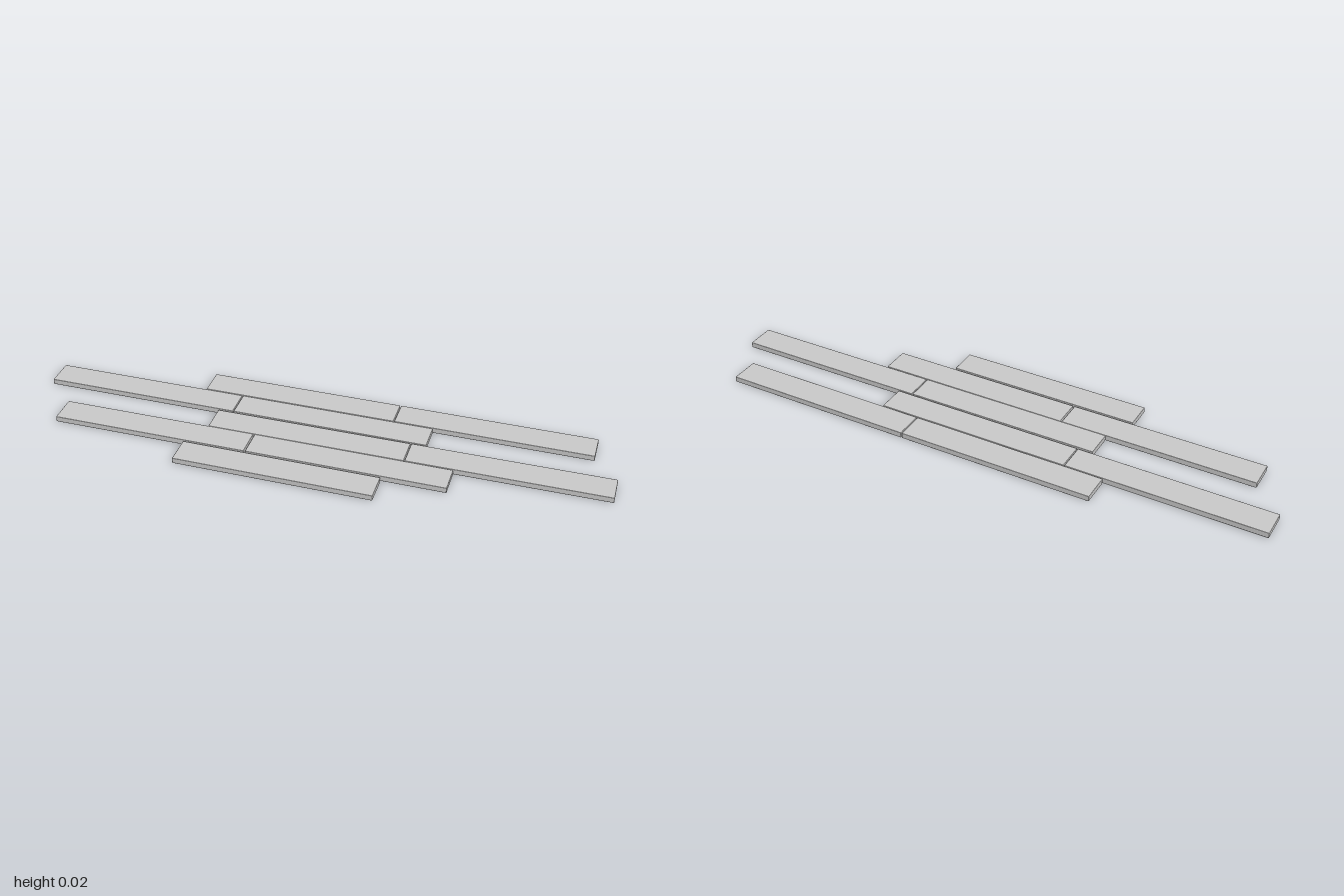
import * as THREE from 'three';
import { RoundedBoxGeometry } from 'three/addons/geometries/RoundedBoxGeometry.js';

export function createModel() {
  const model = new THREE.Group();
  model.name = 'floorPlanks';
  const material = new THREE.MeshStandardMaterial({ color: 0xcccccc });

  // One board with finely eased edges, shared by every plank
  const length = 0.681, height = 0.02, width = 0.1;
  const board = new RoundedBoxGeometry(length, height, width, 1, 0.002);

  // Staggered rows: centre x, centre z, slight skew
  const planks = [
    [-0.114, -0.209, 0], [0.57, -0.209, 0],
    [-0.659, -0.106, 0], [0.025, -0.106, 0],
    [-0.027, 0.0, 0.003], [0.657, -0.003, 0.004],
    [-0.546, 0.102, 0.003], [0.14, 0.101, 0],
    [-0.076, 0.208, 0],
  ];
  planks.forEach(([x, z, skew], i) => {
    const plank = new THREE.Mesh(board, material);
    plank.name = `plank${i + 1}`;
    plank.position.set(x, height / 2, z);
    plank.rotation.y = skew;
    model.add(plank);
  });
  return model;
}
